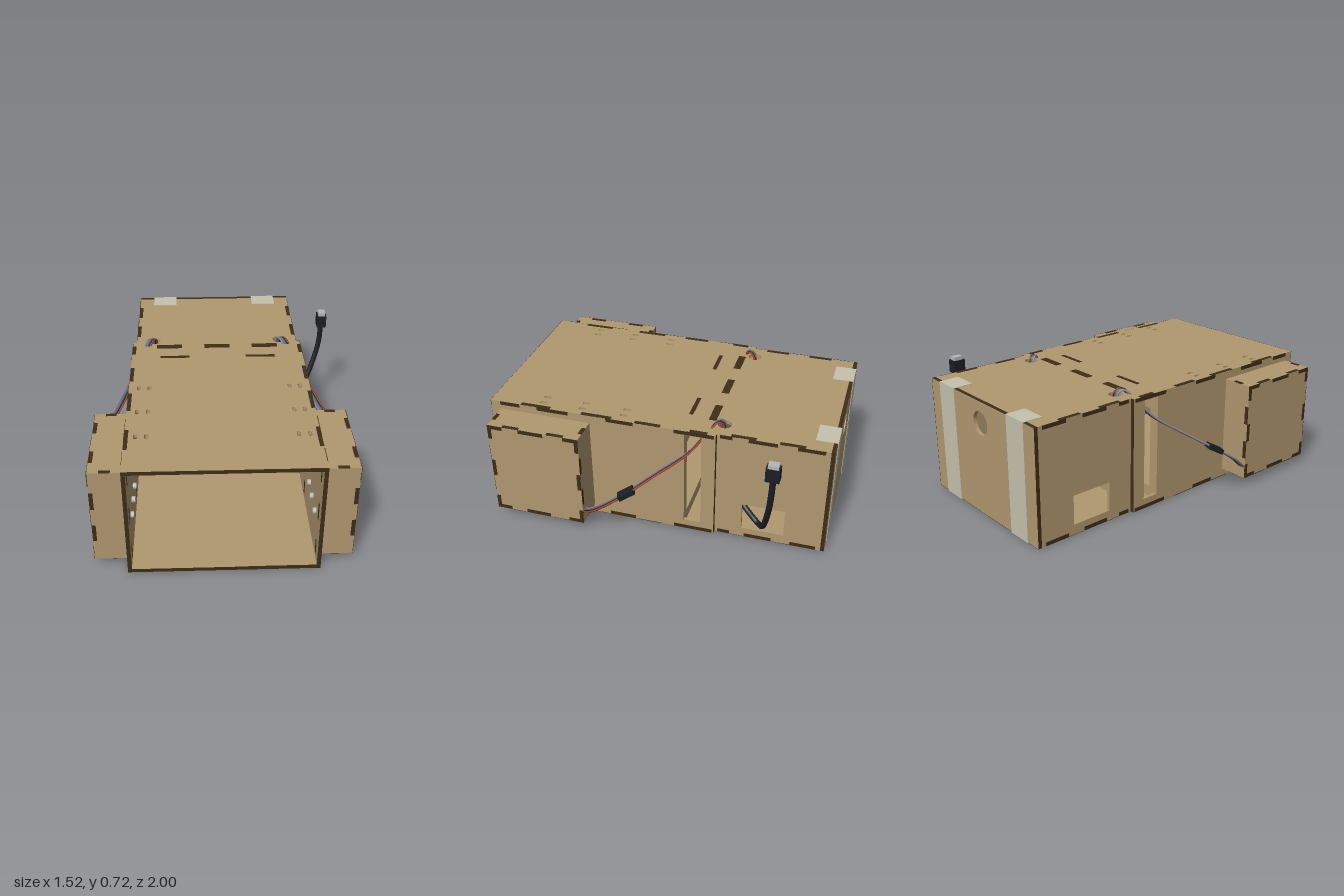
import * as THREE from 'three';

const flat = (name, color) => {
  const m = new THREE.MeshStandardMaterial({ color });
  m.name = name;
  return m;
};

export function createModel() {
  const model = new THREE.Group();
  model.name = 'laserCutCase';
  const wood = flat('plywood', 0xb0986f);
  const burnt = flat('burnt edge', 0x3e2c17);
  const tapeMat = flat('tape', 0xc6c2ae);
  const black = flat('black plastic', 0x1c1e26);
  const metal = flat('metal', 0xb4b6b8);
  const wireMats = [flat('grey wire', 0x8c8790), flat('purple wire', 0x84589c), flat('teal wire', 0x23806e),
    black, flat('red wire', 0xb03a24)];

  const T = 0.022, H = 0.69, W = 0.53, WB = 0.508, STEP = -0.35; // sheet, height, half widths, width step

  const add = (name, geo, mat) => {
    const mesh = new THREE.Mesh(geo, mat);
    mesh.name = name;
    model.add(mesh);
    return mesh;
  };
  // Box given by its limits
  const bar = (name, mat, x0, x1, y0, y1, z0, z1) => {
    const g = new THREE.BoxGeometry(Math.abs(x1 - x0), y1 - y0, z1 - z0);
    g.translate((x0 + x1) / 2, (y0 + y1) / 2, (z0 + z1) / 2);
    return add(name, g, mat);
  };
  const poly = pts => new THREE.Shape(pts.map(p => new THREE.Vector2(...p)));
  const rect = (x0, x1, y0, y1) => poly([[x0, y0], [x1, y0], [x1, y1], [x0, y1]]);
  const circle = (x, y, r) => new THREE.Path().absarc(x, y, r, 0, Math.PI * 2, true);
  const oval = (x, y, r, h) => {
    const p = new THREE.Path();
    p.absarc(x, y + h, r, 0, Math.PI, false);
    p.absarc(x, y - h, r, Math.PI, Math.PI * 2, false);
    p.closePath();
    return p;
  };
  const sheet = (shape, holes = [], depth = T) => {
    shape.holes.push(...holes);
    return new THREE.ExtrudeGeometry(shape, { depth, bevelEnabled: false, curveSegments: 16 });
  };

  // Top and bottom sheets, stepped in at the back
  const plan = () => poly([[-W, -1], [W, -1], [W, -STEP], [WB, -STEP], [WB, 1 - T], [-WB, 1 - T],
    [-WB, -STEP], [-W, -STEP]]);
  const topHoles = [];
  for (const s of [-1, 1]) {
    topHoles.push(circle(s * 0.4, 0.37, 0.04));
    for (const x of [0.41, 0.47]) for (const z of [0.2, 0.45, 0.69]) topHoles.push(oval(s * x, -z, 0.011, 0.012));
  }
  add('topPanel', sheet(plan(), topHoles).rotateX(-Math.PI / 2).translate(0, H - T, 0), wood);
  add('bottomPanel', sheet(plan()).rotateX(-Math.PI / 2), wood);

  // Cross panels: framed opening, divider, back
  add('framePanel', sheet(rect(-WB, WB, T, H - T), [rect(-0.47, 0.47, 0.09, 0.575)]).translate(0, 0, -0.17), wood);
  bar('dividerPanel', wood, -WB, WB, T, H - T, -0.315, -0.272);
  add('backPanel', sheet(rect(-WB, WB, 0, H), [circle(0, 0.56, 0.07)]).translate(0, 0, -1), wood);

  // Burnt outline of the open front and of the back sheet
  for (const y of [0, H - T]) bar('frontEdge', burnt, -W, W, y, y + T, 0.998, 1.001);
  bar('backTopEdge', burnt, -WB, WB, H - 0.002, H + 0.001, -1, -1 + T);
  bar('backBottomEdge', burnt, -WB, WB, -0.001, 0.002, -1, -1 + T);

  // Tabs of the cross panels, shown through the top and bottom
  for (const y of [0, H]) {
    for (const x of [-0.3, 0, 0.3]) bar('dividerTab', burnt, x - 0.08, x + 0.08, y - 0.002, y + 0.002, -0.315, -0.272);
    for (const x of [-0.265, 0.265]) bar('frameTab', burnt, x - 0.09, x + 0.09, y - 0.002, y + 0.002, -0.173, -0.15);
  }

  for (const s of [-1, 1]) {
    // Side walls with a tall slot and a rear window
    const wall = (shape, holes, xOuter) => sheet(shape, holes)
      .rotateY(Math.PI / 2).translate(s > 0 ? xOuter - T : -xOuter, 0, 0);
    add('frontSideWall', wall(rect(-1, -STEP, T, H - T), [rect(0.17, 0.27, 0.06, H - T - 0.003)], W), wood);
    add('rearSideWall', wall(rect(-STEP, 1 - T, T, H - T), [rect(0.51, 0.76, 0.06, 0.235)], WB), wood);
    bar('frontSideEdge', burnt, s * (W - T), s * W, T, H - T, 0.998, 1.001);
    bar('stepEdge', burnt, s * (W - T), s * W, 0, H, STEP - 0.002, STEP);
    bar('backSideEdge', burnt, s * (WB - 0.002), s * (WB + 0.001), 0, H, -1, -1 + T);

    // Finger joints along the long edges
    for (const y of [0, H - T]) {
      for (const [a, b] of [[0.82, 0.94], [0.52, 0.71], [0.13, 0.29], [-0.34, -0.11]])
        bar('sideFinger', burnt, s * (W - 0.002), s * (W + 0.002), y, y + T, a, b);
      for (const [a, b] of [[-0.44, -0.37], [-0.69, -0.53], [-0.95, -0.8]])
        bar('sideFinger', burnt, s * (WB - 0.002), s * (WB + 0.002), y, y + T, a, b);
    }
    for (const y of [0, H]) {
      for (const [a, b] of [[0.63, 0.81], [0.26, 0.44], [-0.03, 0.12], [-0.3, -0.2]])
        bar('topFinger', burnt, s * (W - T), s * W, y - 0.002, y + 0.002, a, b);
      for (const [a, b] of [[-0.57, -0.43], [-0.84, -0.7]])
        bar('topFinger', burnt, s * (WB - T), s * WB, y - 0.002, y + 0.002, a, b);
    }

    // Side box with its joints
    const X = 0.712, y0 = 0.05, y1 = 0.64, z0 = 0.39, z1 = 0.94;
    bar('sideBox', wood, s * W, s * X, y0, y1, z0, z1);
    for (const y of [y0, y1 - T]) for (const [a, b] of [[0.85, 0.94], [0.6, 0.75], [0.39, 0.48]])
      bar('boxFinger', burnt, s * (X - 0.002), s * (X + 0.002), y, y + T, a, b);
    for (const z of [z0, z1 - T]) for (const [a, b] of [[0.05, 0.14], [0.29, 0.4], [0.55, 0.64]]) {
      bar('boxFinger', burnt, s * (X - 0.002), s * (X + 0.002), a, b, z, z + T);
      bar('boxTabInside', burnt, s * (W - T - 0.002), s * (W - T + 0.002), a, b, z, z + T); // through the wall
    }
    for (const z of [z0, z1]) {
      for (const [a, b] of [[0.18, 0.29], [0.4, 0.51]])
        bar('boxFinger', burnt, s * (X - T), s * X, a, b, z - 0.002, z + 0.002);
    }
    for (const y of [y0, y1]) {
      for (const [a, b] of [[0.48, 0.58], [0.75, 0.85]])
        bar('boxFinger', burnt, s * (X - T), s * X, y - 0.002, y + 0.002, a, b);
      for (const z of [z0, z1 - T]) bar('boxFinger', burnt, s * 0.59, s * 0.65, y - 0.002, y + 0.002, z, z + T);
    }
    add('boxCableHole', new THREE.CylinderGeometry(0.025, 0.025, 0.004, 16).translate(s * 0.63, y0, 0.47), burnt);

    // Screws inside the front chamber
    for (const z of [0.47, 0.6, 0.72, 0.85])
      add('screw', new THREE.CylinderGeometry(0.018, 0.018, 0.02, 12).rotateZ(Math.PI / 2)
        .translate(s * 0.498, 0.285, z), metal);

    // Wire ribbon from the top hole, out of the slot and into the side box
    const path = [[0.4, 0.6, -0.38], [0.4, 0.7, -0.365], [0.415, 0.717, -0.34], [0.455, 0.665, -0.29], [0.52, 0.55, -0.2],
      [0.62, 0.42, -0.02], [0.705, 0.325, 0.12], [0.738, 0.24, 0.24], [0.715, 0.16, 0.34], [0.67, 0.11, 0.41]];
    wireMats.forEach((mat, i) => {
      const off = (i - 2) * 0.009;
      const curve = new THREE.CatmullRomCurve3(path.map(([x, y, z]) => new THREE.Vector3(s * x + off, y, z)));
      add('wire', new THREE.TubeGeometry(curve, 56, 0.006, 6), mat);
    });
    const sleeve = add('wireConnector', new THREE.BoxGeometry(0.058, 0.028, 0.1), black);
    sleeve.position.set(s * 0.705, 0.325, 0.12);
    sleeve.lookAt(s * 0.745, 0.26, 0.23);

    // Tape folded over the back
    const a = s * 0.26, b = s * 0.415;
    bar('tapeTop', tapeMat, a, b, H, H + 0.004, -1.003, -0.88);
    bar('tapeBack', tapeMat, a, b, 0, H, -1.003, -0.999);
    bar('tapeBottom', tapeMat, a, b, -0.003, 0.001, -1.003, -0.88);
  }

  // Power cable through the left rear window, with its plug
  const cable = new THREE.CatmullRomCurve3([[0.47, 0.24, -0.49], [0.505, 0.2, -0.54], [0.545, 0.15, -0.615], [0.62, 0.2, -0.655],
    [0.685, 0.36, -0.69], [0.715, 0.5, -0.705], [0.72, 0.63, -0.71]].map(p => new THREE.Vector3(...p)));
  add('powerCable', new THREE.TubeGeometry(cable, 48, 0.017, 10), black);
  bar('plugBody', black, 0.69, 0.75, 0.61, 0.69, -0.747, -0.67);
  bar('plugTip', metal, 0.697, 0.742, 0.69, 0.712, -0.738, -0.68);

  return model;
}
